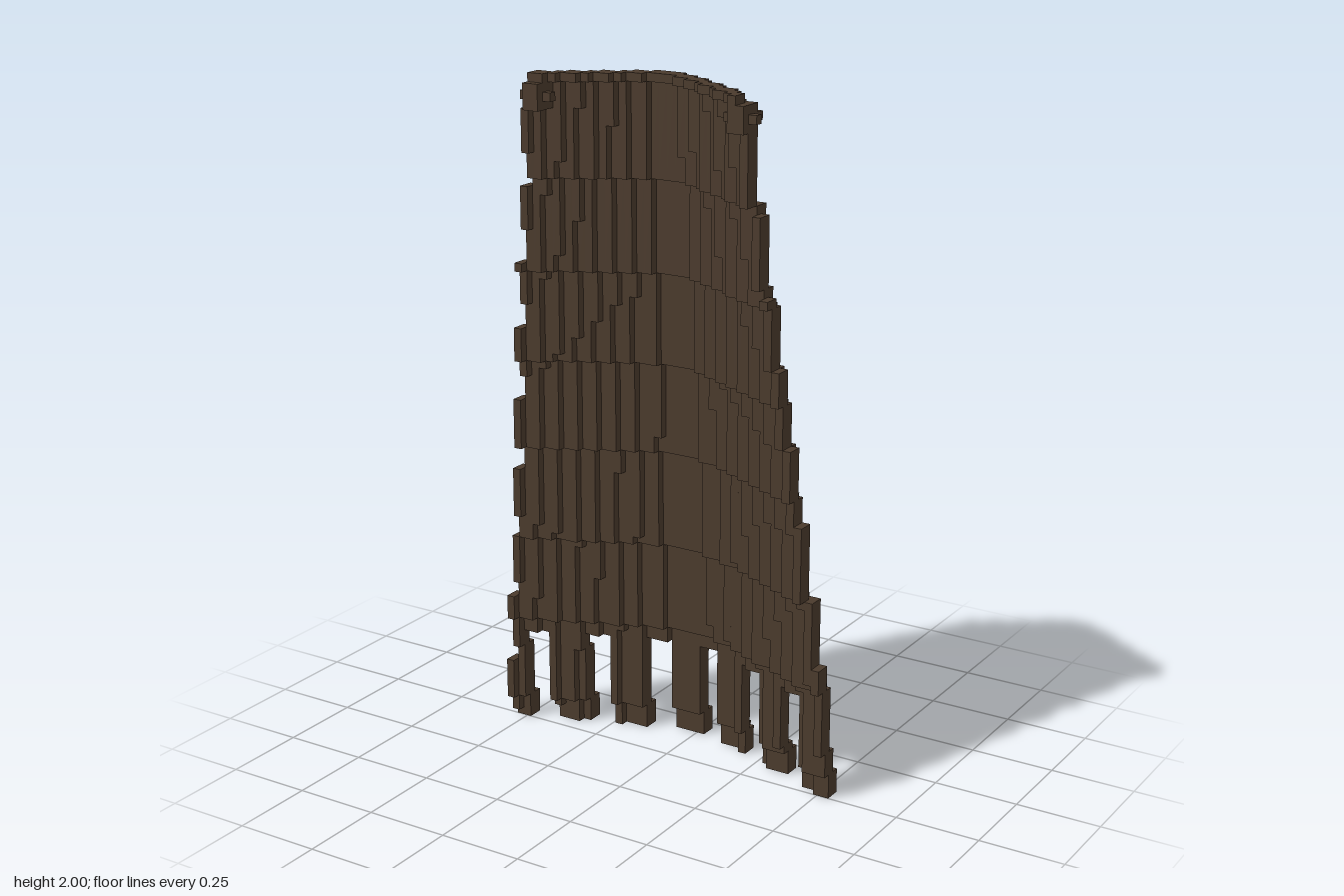
import * as THREE from 'three';
import { mergeGeometries } from 'three/addons/utils/BufferGeometryUtils.js';

const ROWS = 82;          // block layers in the full height
const S = 2 / ROWS;       // block size
const HEM = 12;           // rows below this are cut into straps

// Box spanning block coordinates [x0,x1] x [y0,y1] x [z0,z1]
function block(x0, x1, y0, y1, z0, z1) {
  return new THREE.BoxGeometry((x1 - x0) * S, (y1 - y0) * S, (z1 - z0) * S)
    .translate((x0 + x1) * S / 2, (y0 + y1) * S / 2, (z0 + z1) * S / 2);
}

// Tapering side edges, one block narrower about every nine rows
const taper = (y) => Math.floor((y + 1.4) / 8.75);
const leftEdge = (y) => -22 + taper(y);
const rightEdge = (y) => 22 - Math.max(0, taper(y) - 1);

// Back surface: leans forward in bands and wraps forward at the sides
function backZ(x, y) {
  const lean = -9 + Math.floor((y + 8.5) / 11.15);
  const u = (x + 0.5 - 0.3) / (22.4 - (y + 0.5) / 8.85);
  const wrap = Math.round(9.4 * (Math.sqrt(u * u + 0.04) - 0.2));
  return lean + Math.min(8, wrap);
}

// Cloth two blocks thick, with equal neighbours in a column joined
function cloth(xStart, xEnd, yStart, yEnd) {
  const boxes = [];
  for (let x = xStart; x < xEnd; x++) {
    let from = yStart, z = null;
    for (let y = yStart; y <= yEnd; y++) {
      const inside = y < yEnd && x >= leftEdge(y) && x < rightEdge(y);
      const next = inside ? backZ(x, y) : null;
      if (next === z) continue;
      if (z !== null) boxes.push(block(x, x + 1, from, y, z, z + 2));
      from = y;
      z = next;
    }
  }
  return mergeGeometries(boxes);
}

export function createModel() {
  const group = new THREE.Group();
  const brown = new THREE.MeshStandardMaterial({ color: 0x4a3a2c });
  brown.name = 'dark brown cloth';

  const add = (name, geometry) => {
    const mesh = new THREE.Mesh(geometry, brown);
    mesh.name = name;
    group.add(mesh);
  };

  // Main curved sheet
  add('capePanel', cloth(-22, 22, HEM, ROWS));

  // Seven hanging straps along the hem
  for (let i = 0; i < 7; i++) {
    const x = -24 + i * 7;
    add('hemStrap' + (i + 1), cloth(x, x + 4, 0, HEM));
  }

  // Small round knobs at the upper front corners
  for (const [name, x] of [['leftShoulderKnob', 14], ['rightShoulderKnob', -12]]) {
    add(name, mergeGeometries([
      block(x - 1, x + 1, 78, 81, 6, 9),
      block(x - 2, x + 2, 79, 80, 7, 8),
      block(x - 1, x + 1, 79, 80, 5, 6),
    ]));
  }
  return group;
}
